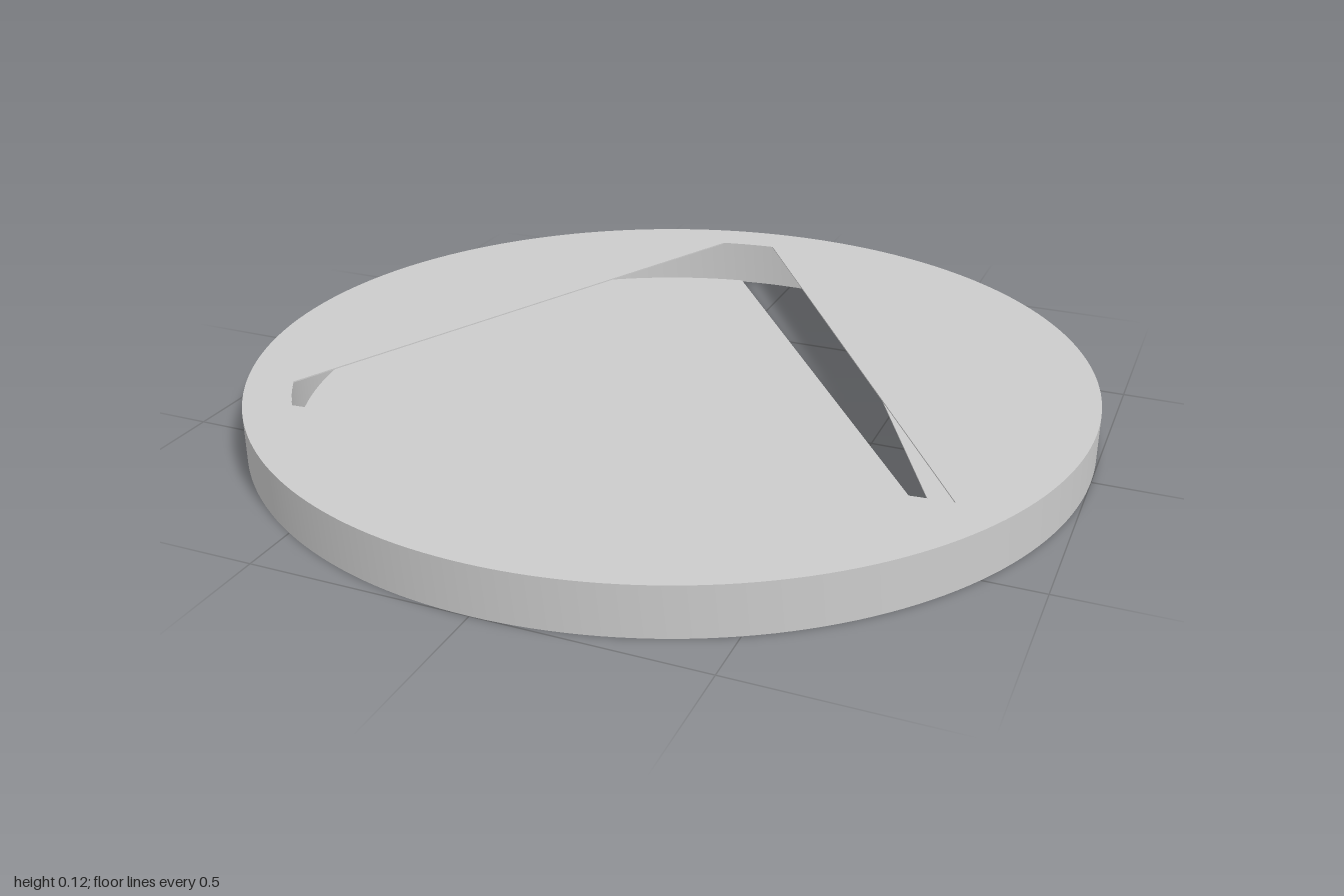
import * as THREE from 'three';
import { toCreasedNormals } from 'three/addons/utils/BufferGeometryUtils.js';

const OUTER = 1, INNER = 0.89, HEIGHT = 0.115, SHEET = 0.003;

// Window outline: arcs on the cavity circle (degrees, x towards z) joined by straight edges
function windowPath(arcs) {
  const path = new THREE.Path();
  const rad = THREE.MathUtils.degToRad;
  for (const [from, to] of arcs) {
    if (from === to) path.lineTo(INNER * Math.cos(rad(from)), INNER * Math.sin(rad(from)));
    else path.absarc(0, 0, INNER, rad(from), rad(to), false);
  }
  path.closePath();
  return path;
}

// Round slab with one hole, lying flat from y = bottom to y = top
function slab(name, hole, bottom, top, material) {
  const shape = new THREE.Shape().absarc(0, 0, OUTER, 0, Math.PI * 2);
  shape.holes.push(hole);
  let geometry = new THREE.ExtrudeGeometry(shape, {
    depth: top - bottom, bevelEnabled: false, curveSegments: 96,
  });
  geometry.rotateX(Math.PI / 2).translate(0, top, 0);
  geometry = toCreasedNormals(geometry, 0.4);
  const mesh = new THREE.Mesh(geometry, material);
  mesh.name = name;
  return mesh;
}

export function createModel() {
  const group = new THREE.Group();
  group.name = 'hollowDisc';
  const material = new THREE.MeshStandardMaterial({ color: 0xcccccc });

  // Rim around the shallow round cavity
  const cavity = new THREE.Path().absarc(0, 0, INNER, 0, Math.PI * 2);
  group.add(slab('rim', cavity, SHEET, HEIGHT - SHEET, material));

  // Thin top sheet with a large, blunt-cornered triangular window
  const topWindow = windowPath([[-102.9, -93.6], [27.8, 27.8], [142.5, 151.1]]);
  group.add(slab('topSheet', topWindow, HEIGHT - SHEET, HEIGHT, material));

  // Thin bottom sheet with a narrow tapering slot
  const bottomSlot = windowPath([[-99.3, -81.4], [27.8, 27.8]]);
  group.add(slab('bottomSheet', bottomSlot, 0, SHEET, material));

  return group;
}
